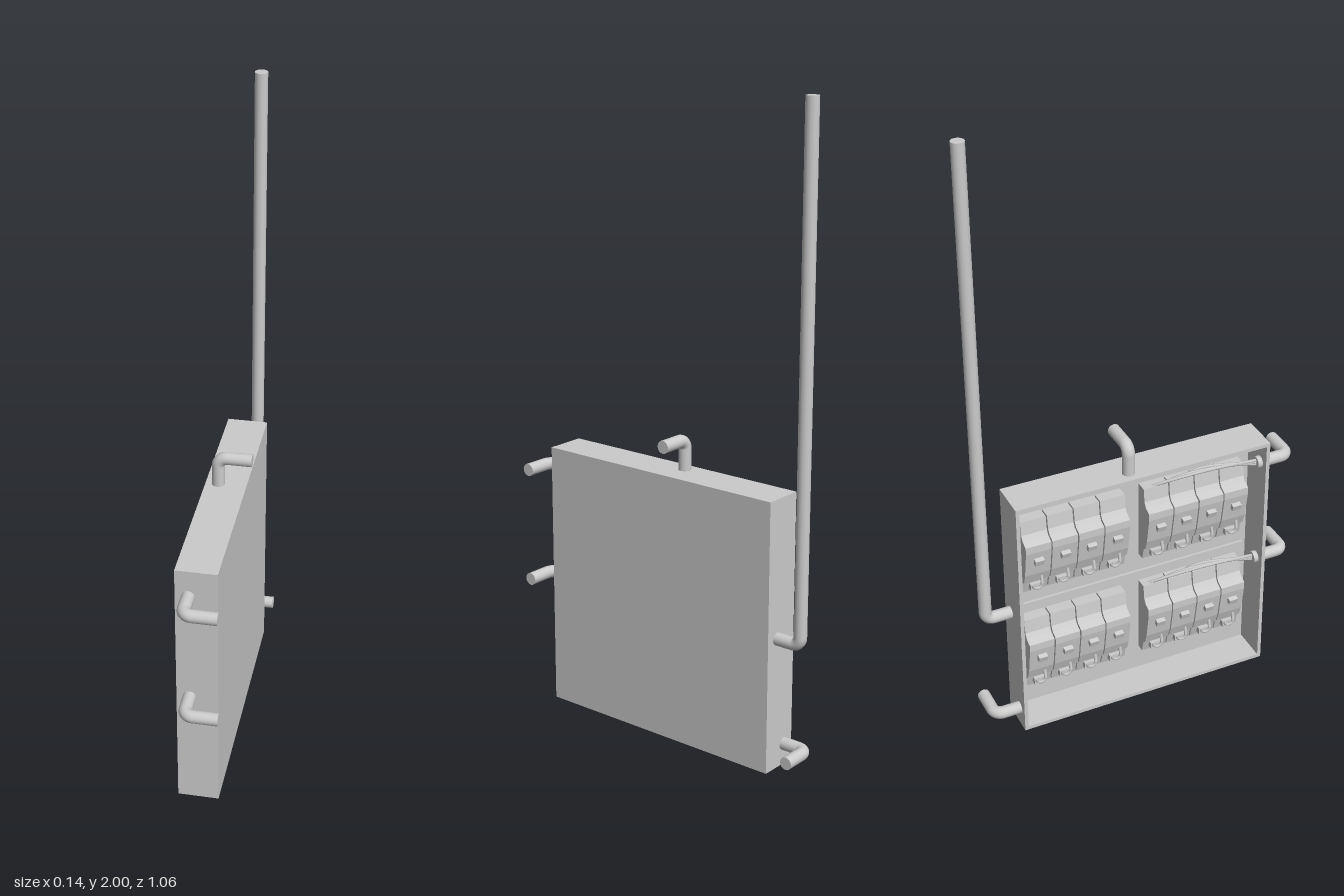
import * as THREE from 'three';

const mat = new THREE.MeshStandardMaterial({ color: 0xcccccc });
const flat = new THREE.MeshStandardMaterial({ color: 0xcccccc, flatShading: true });
const V = (x, y, z) => new THREE.Vector3(x, y, z);

function add(parent, name, geometry, material = mat) {
  const m = new THREE.Mesh(geometry, material);
  m.name = name;
  parent.add(m);
  return m;
}

function box(parent, name, w, h, d, x, y, z) {
  const m = add(parent, name, new THREE.BoxGeometry(w, h, d), flat);
  m.position.set(x, y, z);
  return m;
}

// Capped round bar between two points
function rod(parent, name, a, b, r) {
  const dir = b.clone().sub(a);
  const m = add(parent, name, new THREE.CylinderGeometry(r, r, dir.length(), 16));
  m.position.copy(a).lerp(b, 0.5);
  m.quaternion.setFromUnitVectors(V(0, 1, 0), dir.normalize());
  return m;
}

// Two straight pipes joined by a rounded elbow at the corner
function elbowPipe(parent, name, start, corner, end, r = 0.02, bend = 0.027) {
  const g = new THREE.Group();
  g.name = name;
  parent.add(g);
  const a = corner.clone().add(start.clone().sub(corner).setLength(bend));
  const b = corner.clone().add(end.clone().sub(corner).setLength(bend));
  rod(g, 'pipeInlet', start, a, r);
  const k = 0.55;
  const curve = new THREE.CubicBezierCurve3(a, a.clone().lerp(corner, k), b.clone().lerp(corner, k), b);
  add(g, 'pipeElbow', new THREE.TubeGeometry(curve, 8, r, 16));
  rod(g, 'pipeOutlet', b, end, r);
}

function wire(parent, name, points, r = 0.005) {
  add(parent, name, new THREE.TubeGeometry(new THREE.CatmullRomCurve3(points), 24, r, 6));
}

// One breaker module: stepped side profile extruded across its width
const W = 0.0875;
const profile = new THREE.Shape([
  [0.032, 0], [0.004, 0], [-0.008, 0.045], [-0.018, 0.05], [-0.03, 0.085],
  [-0.045, 0.175], [-0.045, 0.2], [-0.022, 0.21], [-0.012, 0.225], [-0.006, 0.27], [0.032, 0.27],
].map(p => new THREE.Vector2(...p)));
const breakerGeo = new THREE.ExtrudeGeometry(profile, { depth: W - 0.004, bevelEnabled: false });

function breaker(parent, y, z) {
  const g = new THREE.Group();
  g.name = 'breaker';
  g.position.set(0, y, z);
  parent.add(g);
  add(g, 'breakerBody', breakerGeo, flat);
  const c = W / 2 - 0.002;
  // Toggle and lower terminal with its wire loop
  const toggle = box(g, 'toggle', 0.016, 0.02, 0.03, -0.045, 0.14, c);
  toggle.rotation.z = 0.3;
  box(g, 'terminal', 0.022, 0.022, 0.04, -0.008, 0.026, c);
  const loop = add(g, 'terminalLoop', new THREE.TorusGeometry(0.015, 0.005, 6, 12, Math.PI));
  loop.rotation.set(Math.PI, Math.PI / 2, 0);
  loop.position.set(-0.026, 0.04, c);
  rod(g, 'terminalLead', V(-0.026, 0.04, c + 0.015), V(-0.02, 0.07, c + 0.015), 0.005);
}

export function createModel() {
  const model = new THREE.Group();
  model.name = 'breakerCabinet';

  // Cabinet, open on the -x side
  const cabinet = new THREE.Group();
  cabinet.name = 'cabinet';
  model.add(cabinet);
  const H = 0.853, D = 0.85, T = 0.012, w = 0.127, cx = -0.011;
  box(cabinet, 'cabinetPanel', T, H, D, cx + w / 2 - T / 2, H / 2, -0.003);
  for (const s of [-1, 1]) {
    box(cabinet, 'cabinetSide', w - T, H, T, cx - T / 2, H / 2, -0.003 + s * (D - T) / 2);
    box(cabinet, s < 0 ? 'cabinetFloor' : 'cabinetTop', w - T, T, D - 2 * T,
      cx - T / 2, H / 2 + s * (H - T) / 2, -0.003);
  }

  // Two mounting plates, each with two banks of four breakers
  for (const y of [0.11, 0.485]) {
    box(model, 'mountingPlate', 0.009, 0.345, 0.8, 0.0365, y + 0.132, -0.003);
    for (const z of [-0.39, 0.02])
      for (let i = 0; i < 4; i++) breaker(model, y, z + i * W);
  }

  // Conduits with elbows turning towards +x
  const px = -0.035, ex = 0.07;
  for (const y of [0.765, 0.395]) {
    elbowPipe(model, 'frontConduit', V(px, y, 0.395), V(px, y, 0.509), V(ex, y, 0.509));
    // Wires running from the conduit into the cabinet
    for (let i = 0; i < 3; i++)
      wire(model, 'feedWire', [
        V(px, y + (i - 1) * 0.008, 0.4), V(px + 0.005, y + 0.015, 0.31 - i * 0.03),
        V(px + 0.02, y + 0.02 - i * 0.008, 0.2 - i * 0.05), V(0.01, y - 0.02, 0.14 - i * 0.05),
      ]);
  }
  elbowPipe(model, 'backConduit', V(px, 0.067, -0.415), V(px, 0.067, -0.511), V(ex, 0.067, -0.511));
  elbowPipe(model, 'topConduit', V(px, 0.835, -0.045), V(px, 0.947, -0.045), V(ex, 0.947, -0.045));

  // Tall service mast
  elbowPipe(model, 'mast', V(0.008, 0.42, -0.415), V(0.008, 0.42, -0.511), V(0.008, 2, -0.511));
  return model;
}
